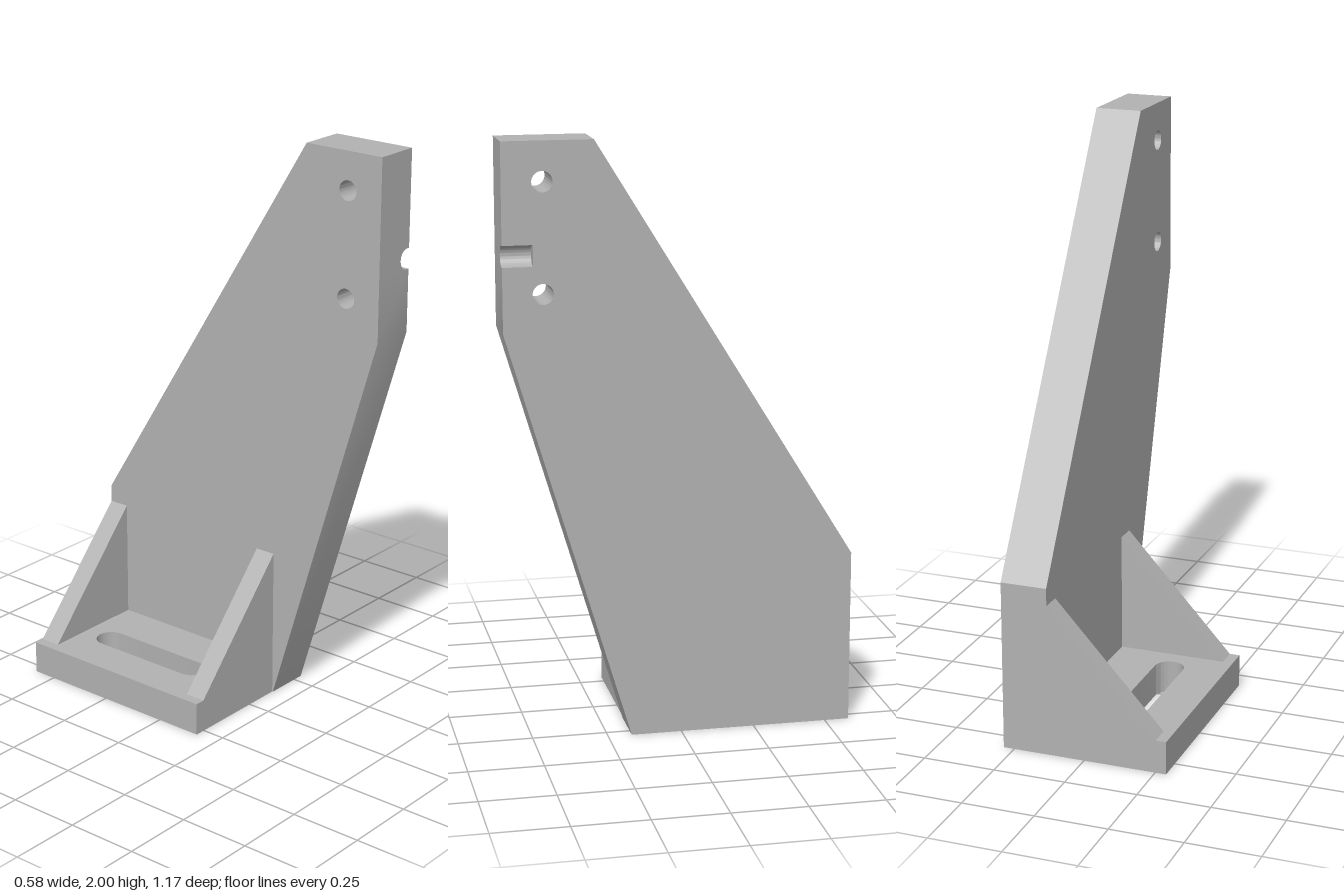
import * as THREE from 'three';
import { toCreasedNormals } from 'three/addons/utils/BufferGeometryUtils.js';

const LEFT = 0.288, INNER = 0.127, BACK = -0.583, BASE_FRONT = 0.167, BASE_TOP = 0.115;

const outline = (points) => new THREE.Shape(points.map(([a, b]) => new THREE.Vector2(a, b)));

const extrude = (shape, depth) =>
  new THREE.ExtrudeGeometry(shape, { depth, bevelEnabled: false, curveSegments: 24 });

export function createModel() {
  const model = new THREE.Group();
  model.name = 'mountingBracket';
  const metal = new THREE.MeshStandardMaterial({ color: 0xb2b2b2 });
  metal.name = 'grey metal';

  const add = (name, geometry) => {
    const mesh = new THREE.Mesh(toCreasedNormals(geometry, 0.5), metal);
    mesh.name = name;
    model.add(mesh);
  };

  // Upright plate: side outline as (z, y), with a notch for the groove and two bolt holes
  const grooveLow = 1.6, grooveHigh = 1.67, grooveEnd = 0.483, front = 0.583;
  const side = outline([
    [0.17, 0], [BACK, 0], [BACK, 0.59], [0.285, 2], [front, 2],
    [front, grooveHigh], [grooveEnd, grooveHigh], [grooveEnd, grooveLow],
    [front, grooveLow], [front, 1.385],
  ].map(([z, y]) => [-z, y]));
  for (const y of [1.87, 1.51]) {
    side.holes.push(new THREE.Path().absarc(-0.452, y, 0.034, 0, Math.PI * 2, true));
  }
  add('uprightPlate', extrude(side, LEFT - INNER).rotateY(Math.PI / 2).translate(INNER, 0, 0));

  // Block filling the notch, leaving a round-bottomed groove on the left face
  const r = (grooveHigh - grooveLow) / 2;
  const block = new THREE.Shape();
  block.moveTo(INNER, grooveLow);
  block.lineTo(0.278, grooveLow);
  block.absarc(0.278, grooveLow + r, r, -Math.PI / 2, -Math.PI * 1.5, true);
  block.lineTo(INNER, grooveHigh);
  add('grooveBlock', extrude(block, front - grooveEnd).translate(0, 0, grooveEnd));

  // Foot with a long rounded slot, drawn as (x, -z)
  const foot = outline([
    [-LEFT, -BASE_FRONT], [INNER, -BASE_FRONT], [INNER, -BACK], [-LEFT, -BACK],
  ]);
  const slot = new THREE.Path();
  slot.absarc(-0.0925, 0.397, 0.052, 0, Math.PI, false);
  slot.absarc(-0.0925, 0.02, 0.052, Math.PI, Math.PI * 2, false);
  slot.closePath();
  foot.holes.push(slot);
  add('foot', extrude(foot, BASE_TOP).rotateX(-Math.PI / 2));

  // Triangular gussets at both ends of the foot
  const thickness = 0.074;
  const gusset = outline([[-0.252, BASE_TOP], [INNER, BASE_TOP], [INNER, 0.53]]);
  for (const [name, z] of [['backGusset', BACK], ['frontGusset', BASE_FRONT - thickness]]) {
    add(name, extrude(gusset, thickness).translate(0, 0, z));
  }
  return model;
}
